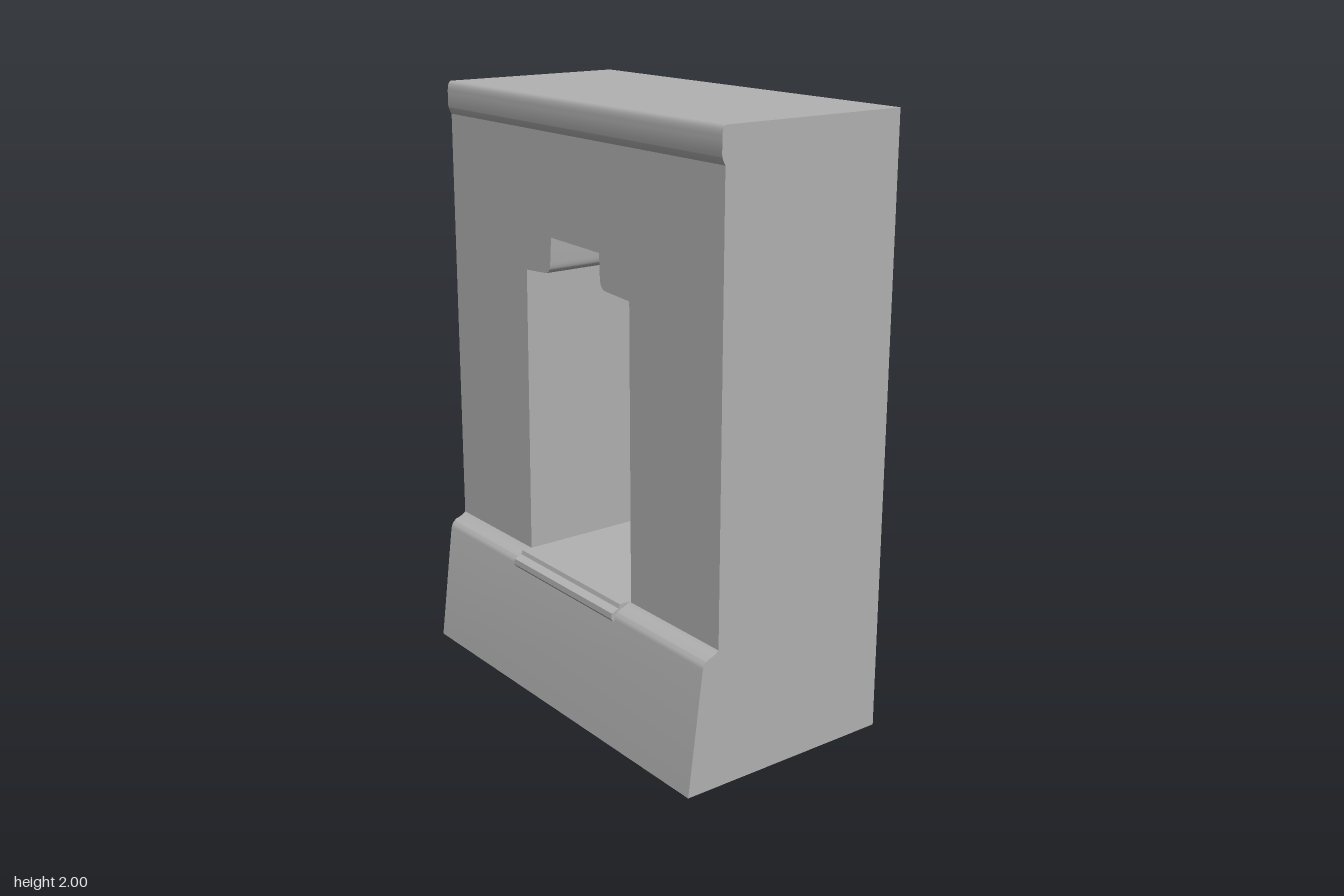
import * as THREE from 'three';
import { toCreasedNormals } from 'three/addons/utils/BufferGeometryUtils.js';

const HALF_WIDTH = 0.725;  // wall runs along z
const FACE = -0.275;       // x of the moulded face
const BACK = 0.385;        // x of the plain face

const stone = new THREE.MeshStandardMaterial({ color: 0xb2b2b2 });
stone.name = 'grey stone';

function solid(name, shape, depth) {
  const geometry = new THREE.ExtrudeGeometry(shape, { depth, bevelEnabled: false, curveSegments: 6 });
  const mesh = new THREE.Mesh(toCreasedNormals(geometry, 0.6), stone);
  mesh.name = name;
  return mesh;
}

// Runs an (x, y) profile along z between two positions
function moulding(name, shape, z0, z1) {
  const mesh = solid(name, shape, z1 - z0);
  mesh.position.z = z0;
  return mesh;
}

export function createModel() {
  const model = new THREE.Group();
  model.name = 'windowWall';

  // Wall slab drawn in (-z, y), with the stepped window opening
  const wall = new THREE.Shape();
  wall.moveTo(-HALF_WIDTH, 0);
  wall.lineTo(HALF_WIDTH, 0);
  wall.lineTo(HALF_WIDTH, 2);
  wall.lineTo(-HALF_WIDTH, 2);
  wall.closePath();

  const opening = new THREE.Path();
  opening.moveTo(-0.29, 0.455);
  opening.lineTo(-0.285, 1.43);
  opening.lineTo(-0.16, 1.438);
  opening.quadraticCurveTo(-0.135, 1.442, -0.134, 1.475);
  opening.lineTo(-0.131, 1.552);
  opening.lineTo(0.131, 1.558);
  opening.lineTo(0.138, 1.475);
  opening.quadraticCurveTo(0.14, 1.442, 0.162, 1.438);
  opening.lineTo(0.276, 1.43);
  opening.lineTo(0.284, 0.455);
  opening.closePath();
  wall.holes.push(opening);

  const slab = solid('wall', wall, BACK - FACE);
  slab.rotation.y = Math.PI / 2;
  slab.position.x = FACE;
  model.add(slab);

  // Sloping plinth with a rounded top
  const plinth = new THREE.Shape();
  plinth.moveTo(FACE, 0);
  plinth.lineTo(FACE, 0.455);
  plinth.lineTo(-0.287, 0.445);
  plinth.lineTo(-0.312, 0.436);
  plinth.quadraticCurveTo(-0.332, 0.425, -0.335, 0.4);
  plinth.lineTo(-0.385, 0);
  plinth.closePath();
  model.add(moulding('plinth', plinth, -HALF_WIDTH, HALF_WIDTH));

  // Stepped window sill
  const sill = new THREE.Shape();
  sill.moveTo(FACE, 0.4);
  sill.lineTo(FACE, 0.455);
  sill.lineTo(-0.312, 0.455);
  sill.lineTo(-0.316, 0.441);
  sill.lineTo(-0.343, 0.431);
  sill.lineTo(-0.345, 0.412);
  sill.lineTo(-0.335, 0.4);
  sill.closePath();
  model.add(moulding('sill', sill, -0.285, 0.28));

  // Shallow rounded cornice along the top edge
  const cornice = new THREE.Shape();
  cornice.moveTo(FACE, 1.89);
  cornice.lineTo(FACE, 2);
  cornice.bezierCurveTo(-0.285, 1.995, -0.287, 1.98, -0.287, 1.96);
  cornice.lineTo(-0.287, 1.92);
  cornice.quadraticCurveTo(-0.285, 1.905, FACE, 1.89);
  model.add(moulding('cornice', cornice, -HALF_WIDTH, HALF_WIDTH));

  return model;
}
